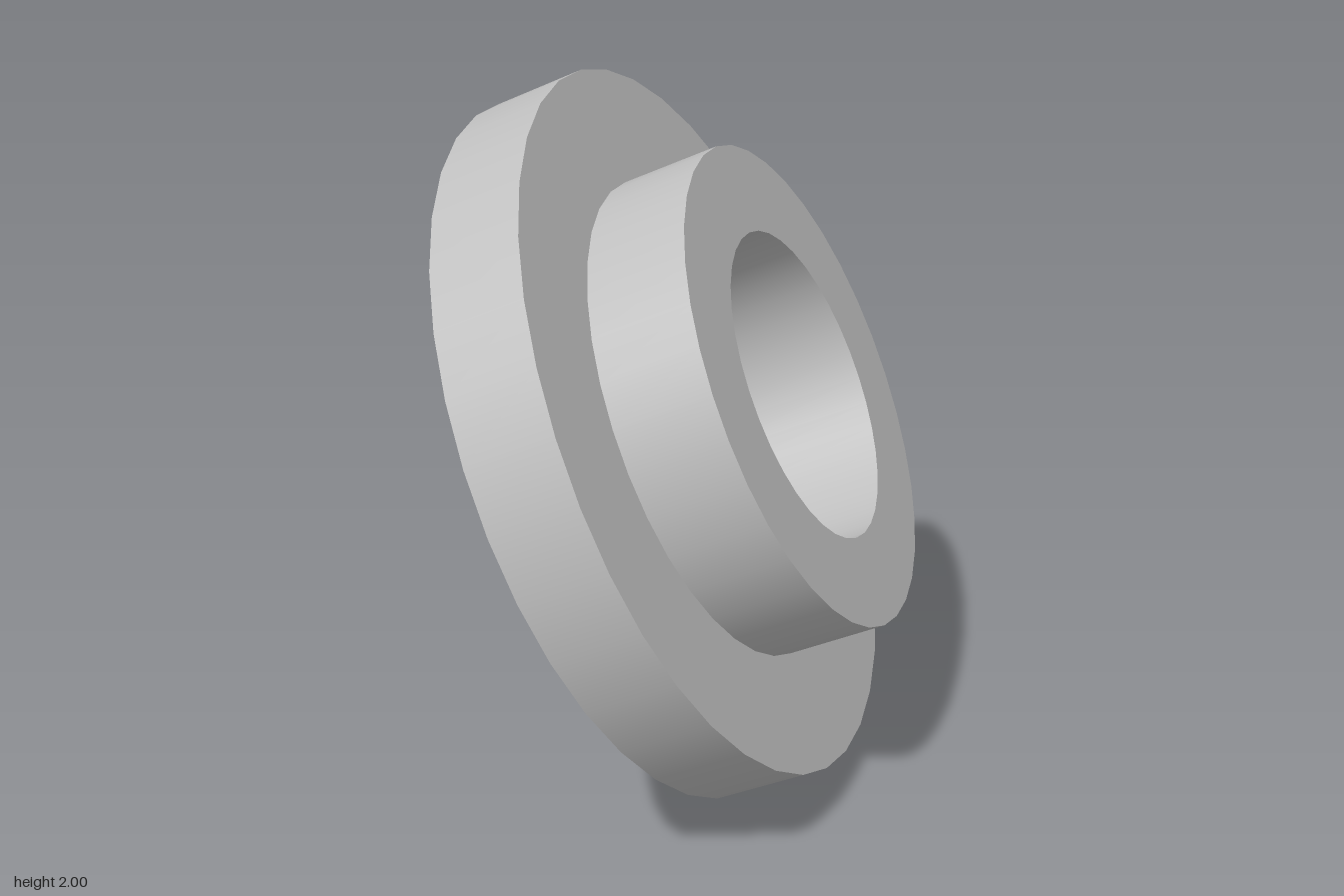
import * as THREE from 'three';

const SEGMENTS = 36;
const FLANGE_R = 1.04, HUB_R = 0.704, BORE_R = 0.45;
const FLANGE_T = 0.268, TOTAL_H = 0.56;

export function createModel() {
  const metal = new THREE.MeshStandardMaterial({ color: 0xc0c0c0 });
  metal.name = 'plain grey metal';

  const model = new THREE.Group();
  model.name = 'flangedBushing';

  // Each surface is its own lathe, so the rims stay sharp and the walls smooth
  const surface = (name, r0, y0, r1, y1) => {
    const line = [new THREE.Vector2(r0, y0), new THREE.Vector2(r1, y1)];
    const mesh = new THREE.Mesh(new THREE.LatheGeometry(line, SEGMENTS), metal);
    mesh.name = name;
    return mesh;
  };

  // Wide flange disc
  const flange = new THREE.Group();
  flange.name = 'flange';
  flange.add(
    surface('flangeFace', BORE_R, 0, FLANGE_R, 0),
    surface('flangeRim', FLANGE_R, 0, FLANGE_R, FLANGE_T),
    surface('flangeShoulder', FLANGE_R, FLANGE_T, HUB_R, FLANGE_T),
  );

  // Narrower raised collar
  const hub = new THREE.Group();
  hub.name = 'hub';
  hub.add(
    surface('hubWall', HUB_R, FLANGE_T, HUB_R, TOTAL_H),
    surface('hubFace', HUB_R, TOTAL_H, BORE_R, TOTAL_H),
  );

  // Straight hole through both
  const bore = surface('bore', BORE_R, TOTAL_H, BORE_R, 0);

  // Tilt the whole part onto its axis, resting on the flange edge
  const bushing = new THREE.Group();
  bushing.name = 'tiltedBushing';
  bushing.add(flange, hub, bore);
  const axis = new THREE.Vector3(0.805, 0.419, -0.419).normalize();
  bushing.quaternion.setFromUnitVectors(new THREE.Vector3(0, 1, 0), axis);
  bushing.position.set(-0.128, 0.944, 0.056);
  model.add(bushing);
  return model;
}
